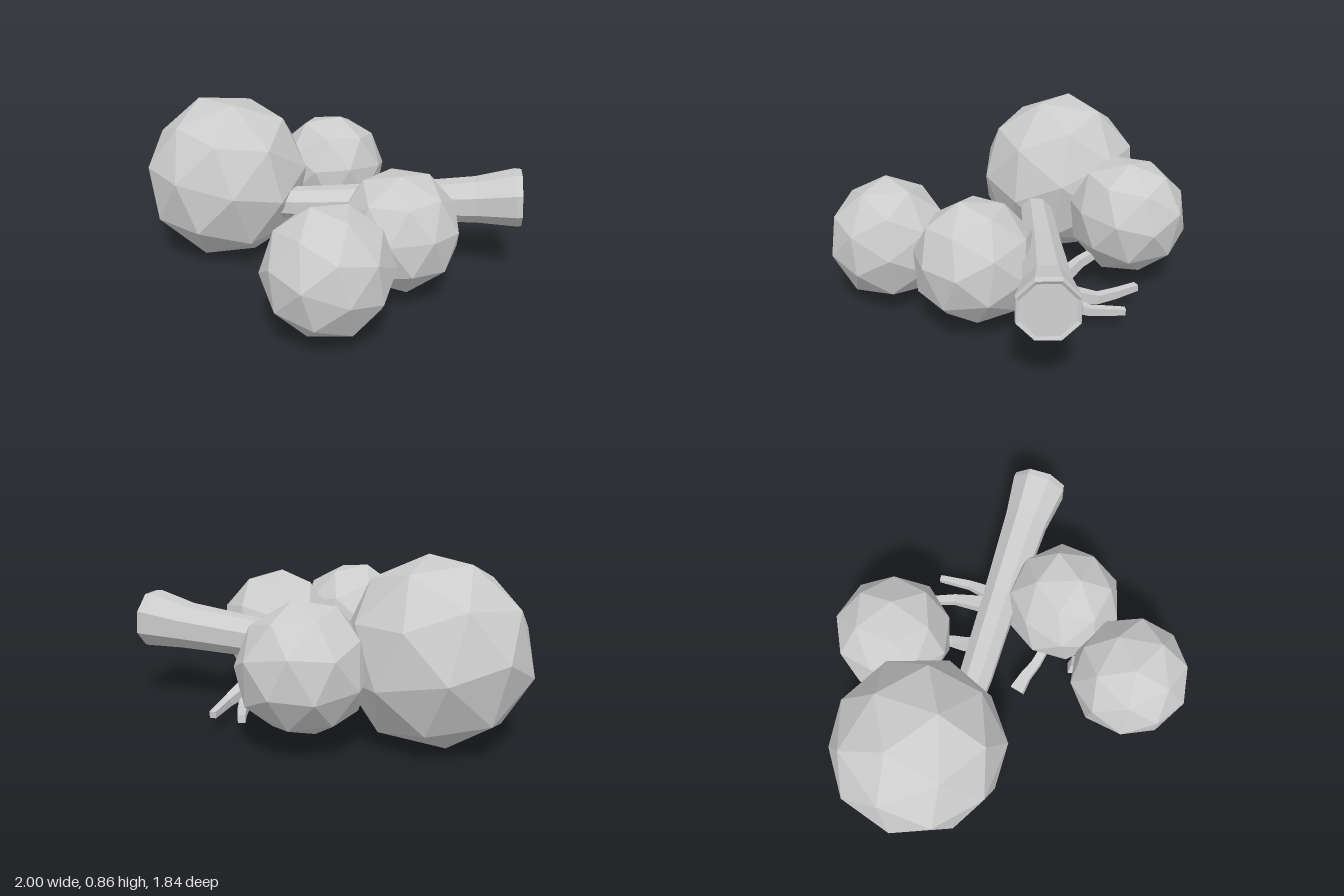
import * as THREE from 'three';
import { ConvexGeometry } from 'three/addons/geometries/ConvexGeometry.js';

const grey = new THREE.MeshStandardMaterial({ color: 0xcccccc, flatShading: true });

function add(group, name, geometry) {
  const mesh = new THREE.Mesh(geometry, grey);
  mesh.name = name;
  group.add(mesh);
}

// Faceted foliage clump: a dodecahedron with raised face centres, turned and slightly uneven
function clump([x, y, z], radius, turn) {
  const points = [];
  const corners = new THREE.DodecahedronGeometry(1);
  const centres = new THREE.IcosahedronGeometry(1).rotateZ(Math.PI / 2);
  const rotation = new THREE.Euler(...turn);
  for (const { attributes: { position } } of [corners, centres]) {
    for (let i = 0; i < position.count; i++) {
      const v = new THREE.Vector3().fromBufferAttribute(position, i);
      const k = 1 + 0.02 * Math.sin(v.x * 5 + v.y * 7 - v.z * 4);
      v.multiplyScalar(radius * k).applyEuler(rotation);
      points.push(v.add(new THREE.Vector3(x, y, z)));
    }
  }
  return new ConvexGeometry(points);
}

// Closed limb through points [x, y, z, radius] with a polygonal section
function limb(rows, sides) {
  const pts = rows.map(r => new THREE.Vector3(r[0], r[1], r[2]));
  const first = pts[0], end = pts[pts.length - 1];
  const pos = [];
  const index = [];
  pts.forEach((c, i) => {
    const t = pts[Math.min(i + 1, pts.length - 1)].clone().sub(pts[Math.max(i - 1, 0)]);
    // rows that double back (a recessed cut) keep the limb's overall direction
    if (t.dot(end.clone().sub(first)) <= 0) t.copy(end).sub(first);
    t.normalize();
    const ref = Math.abs(t.y) > 0.9 ? new THREE.Vector3(1, 0, 0) : new THREE.Vector3(0, 1, 0);
    const u = ref.cross(t).normalize();
    const w = t.clone().cross(u);
    for (let j = 0; j < sides; j++) {
      const a = (j + 0.5) / sides * Math.PI * 2;
      const q = c.clone().addScaledVector(u, Math.cos(a) * rows[i][3]).addScaledVector(w, Math.sin(a) * rows[i][3]);
      pos.push(q.x, q.y, q.z);
    }
  });
  for (let i = 0; i < pts.length - 1; i++) {
    for (let j = 0; j < sides; j++) {
      const a = i * sides + j, b = i * sides + (j + 1) % sides;
      index.push(a, b, a + sides, b, b + sides, a + sides);
    }
  }
  // end caps
  const last = (pts.length - 1) * sides;
  for (let j = 1; j < sides - 1; j++) {
    index.push(0, j + 1, j, last, last + j, last + j + 1);
  }
  const geo = new THREE.BufferGeometry();
  geo.setAttribute('position', new THREE.Float32BufferAttribute(pos, 3));
  geo.setIndex(index);
  const flat = geo.toNonIndexed();
  flat.computeVertexNormals();
  return flat;
}

export function createModel() {
  const tree = new THREE.Group();
  tree.name = 'fallenTree';

  // Fallen trunk, flaring to a cut base with a slightly recessed face
  add(tree, 'trunk', limb([
    [-0.4, 0.35, -0.24, 0.075],
    [-0.15, 0.355, -0.185, 0.09],
    [0.3, 0.385, -0.095, 0.1],
    [0.74, 0.422, 0, 0.122],
    [0.94, 0.447, 0.05, 0.152],
    [0.966, 0.448, 0.056, 0.148],
    [0.958, 0.448, 0.054, 0.13],
  ], 8));

  // Foliage clumps
  const clumps = [
    ['crownFoliage', [-0.565, 0.437, -0.42], 0.45, [0.3, 0.2, 0.25]],
    ['frontFoliage', [-0.08, 0.352, 0.615], 0.315, [0.5, 0.3, 0.1]],
    ['middleFoliage', [0.3, 0.37, 0.24], 0.31, [0.2, 0.6, 0.4]],
    ['backFoliage', [0.025, 0.4, -0.63], 0.31, [0.7, 0.1, 0.5]],
  ];
  for (const [name, centre, radius, turn] of clumps) add(tree, name, clump(centre, radius, turn));

  // Bent twigs, thicker at their broken ends
  const twigs = [
    [[0.33, 0.15, -0.08, 0.05], [0.34, 0.145, -0.22, 0.05], [0.365, 0.115, -0.37, 0.034], [0.35, 0.12, -0.47, 0.03], [0.325, 0.13, -0.59, 0.025]],
    [[0.4, 0.145, -0.12, 0.045], [0.42, 0.135, -0.2, 0.042], [0.465, 0.11, -0.3, 0.03], [0.495, 0.1, -0.47, 0.023]],
    [[0.13, 0.05, -0.22, 0.05], [0.1, 0.12, -0.28, 0.042], [0.09, 0.18, -0.36, 0.034], [0.07, 0.22, -0.46, 0.03]],
    [[-0.14, 0.11, 0.03, 0.052], [-0.06, 0.13, 0.07, 0.04], [0.01, 0.15, 0.12, 0.034], [0.12, 0.22, 0.18, 0.03]],
    [[0.03, 0.06, 0.33, 0.046], [0.05, 0.12, 0.34, 0.04], [0.02, 0.2, 0.42, 0.03]],
  ];
  twigs.forEach((rows, i) => add(tree, 'twig' + (i + 1), limb(rows, 4)));

  return tree;
}
